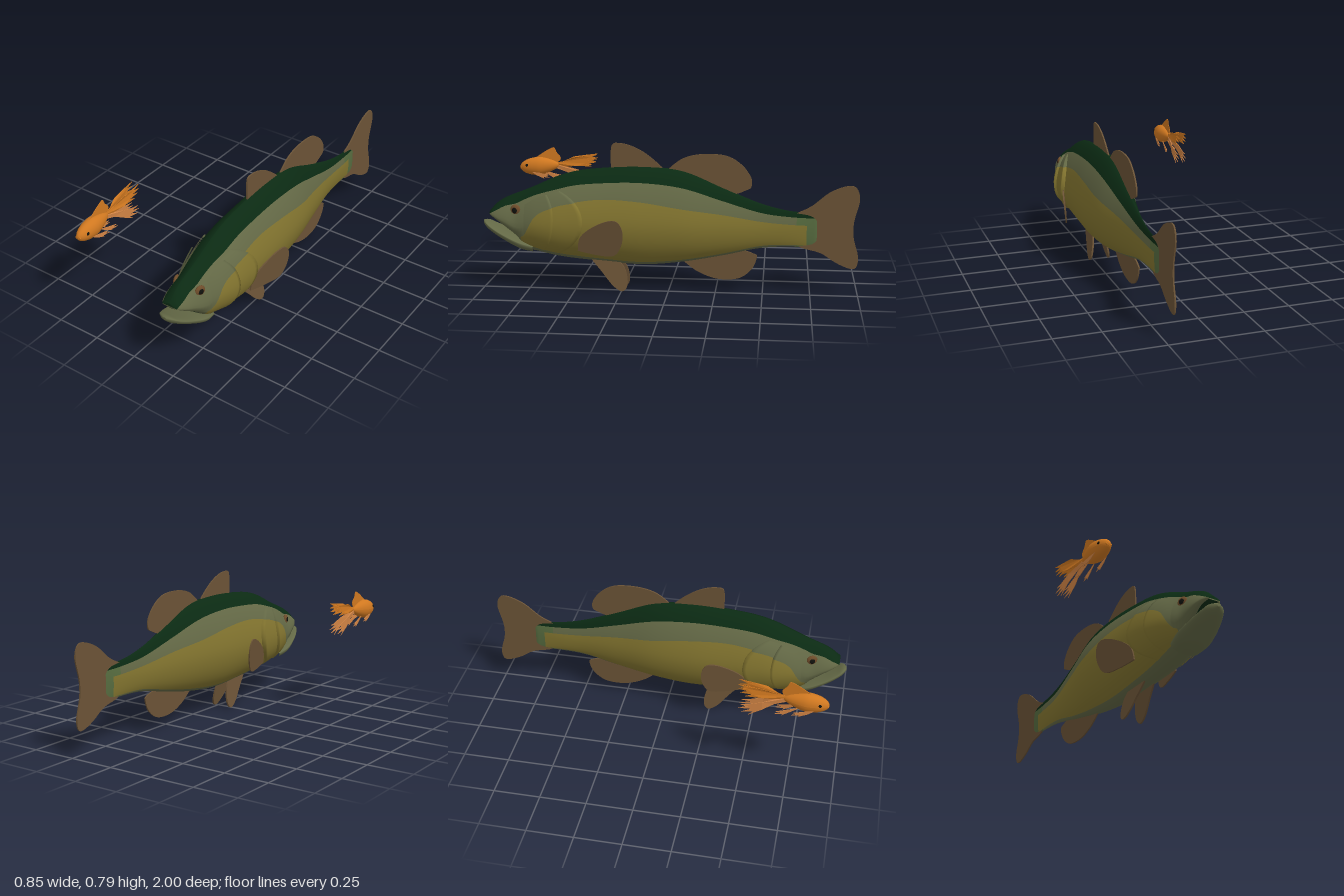
import * as THREE from 'three';

const mat = (name, color, side = THREE.FrontSide) => {
  const m = new THREE.MeshStandardMaterial({ color, side });
  m.name = name;
  return m;
};

export function createModel() {
  const root = new THREE.Group();
  const dark = mat('darkGreenBack', 0x0b2a13), grey = mat('greyGreenFlank', 0x646946);
  const olive = mat('oliveSide', 0x82742f), tailGreen = mat('tailBaseGreen', 0x566b3f);
  const finBrown = mat('brownFin', 0x6b5336, THREE.DoubleSide);
  const iris = mat('brownIris', 0x6e4c2a), pupil = mat('blackPupil', 0x11120d);
  const orange = mat('orangeScales', 0xd07820), orangeFin = mat('paleOrangeFin', 0xd28444, THREE.DoubleSide);

  const add = (parent, name, geo, material) => {
    const m = new THREE.Mesh(geo, material);
    m.name = name;
    parent.add(m);
    return m;
  };

  // Surface from a grid of points; cells are grouped by material
  function grid(ni, nj, point, mats, pick, flip) {
    const pos = [], lists = mats.map(() => []);
    for (let i = 0; i <= ni; i++) for (let j = 0; j <= nj; j++) pos.push(...point(i, j));
    for (let i = 0; i < ni; i++) for (let j = 0; j < nj; j++) {
      const a = i * (nj + 1) + j, b = a + 1, c = a + nj + 1, d = c + 1;
      lists[pick(i, j)].push(...(flip ? [a, c, b, b, c, d] : [a, b, c, b, d, c]));
    }
    const g = new THREE.BufferGeometry();
    g.setAttribute('position', new THREE.Float32BufferAttribute(pos, 3));
    g.setIndex(lists.flat());
    let start = 0;
    lists.forEach((l, k) => { g.addGroup(start, l.length, k); start += l.length; });
    g.computeVertexNormals();
    return g;
  }

  // Cross-sections: z, belly, belly line, flank line, back line, top, widest height, half width
  const spline = rows => {
    const f = new THREE.CubicInterpolant(rows.map(r => r[0]), rows.flatMap(r => r.slice(1)), rows[0].length - 1);
    return z => Array.from(f.evaluate(z));
  };
  const bodyAt = spline([
    [-0.78, .25, .26, .37, .41, .445, .35, .005], [-0.66, .255, .265, .375, .415, .445, .35, .016],
    [-0.5, .246, .26, .39, .435, .48, .35, .03], [-0.29, .2, .215, .43, .5, .563, .36, .07],
    [-0.075, .16, .18, .465, .57, .65, .37, .116], [.14, .14, .165, .5, .595, .67, .37, .138],
    [.354, .153, .18, .51, .59, .66, .37, .142], [.5, .165, .195, .49, .575, .64, .37, .143],
    [.6, .178, .21, .465, .55, .61, .365, .142], [.7, .2, .235, .41, .52, .565, .36, .13],
    [.77, .222, .255, .3, .49, .535, .35, .112], [.81, .28, .29, .305, .47, .52, .34, .1],
    [.87, .33, .338, .346, .455, .495, .37, .087], [.92, .37, .376, .382, .43, .465, .39, .07],
    [.96, .4, .402, .404, .408, .425, .408, .045]]);
  const halfWidth = (y, [lo, , , , hi, mid, w]) => y > mid
    ? w * Math.pow(Math.max(0, 1 - Math.pow((y - mid) / (hi - mid), 1.6)), .65)
    : w * Math.pow(Math.max(0, 1 - Math.pow((mid - y) / (mid - lo), 2)), .6);

  // Rows running from the belly up to the ridge, four colour bands
  const columns = [];
  [5, 11, 7, 8].forEach((n, band) => {
    for (let k = 0; k < n; k++) columns.push([band, k / n]);
  });
  columns.push([3, 1]);
  const heightAt = (s, [band, t]) => {
    const e = band === 3 ? Math.sin(t * Math.PI / 2) : band === 0 ? 1 - Math.cos(t * Math.PI / 2) : t;
    return s[band] + (s[band + 1] - s[band]) * e;
  };

  const bass = new THREE.Group();
  bass.name = 'largeFish';
  bass.position.x = .215;
  root.add(bass);

  const bodyMats = [dark, grey, olive, tailGreen], N = 100;
  const zAt = i => -.78 + 1.74 * Math.min(1, Math.max(0, (i - 1) / (N - 2)));
  const bodyColour = (i, j) => {
    const z = zAt(i + .5), band = columns[j][0];
    if (band === 3 || (z > .79 && band === 0)) return 0;
    if (z < -.68 - .05 * (band === 1)) return 3;
    return band === 1 && z < .775 ? 2 : 1;
  };
  // Gill plates: raised shells following the body
  const gills = [['gillCover', .7, .44, .14, .02], ['cheekPlate', .76, .595, .08, .022]];

  const jawAt = spline([
    [.72, .2, .25, .24, .09], [.79, .217, .277, .262, .104], [.88, .262, .312, .3, .09],
    [.95, .304, .347, .335, .066], [.985, .33, .366, .355, .042], [1, .348, .366, .358, .014]]);

  for (const side of [1, -1]) {
    const word = side > 0 ? 'left' : 'right', flip = side < 0;
    add(bass, word + 'Body', grid(N, columns.length - 1, (i, j) => {
      const z = zAt(i), s = bodyAt(z), y = heightAt(s, columns[j]);
      return [i === 0 || i === N ? 0 : side * halfWidth(y, s), y, z];
    }, bodyMats, bodyColour, flip), bodyMats);

    const plate = columns.filter(c => c[0] === 1 || c[0] === 2);
    for (const [name, front, rear, bow, lift] of gills) {
      add(bass, word + name, grid(13, plate.length - 1, (i, j) => {
        const u = Math.min(1, Math.abs(heightAt(bodyAt(rear + .06), plate[j]) - .385) / .185);
        const t = Math.min(1, i / 12), z = front + (rear + bow * u * u - front) * t;
        const s = bodyAt(z), y = heightAt(s, plate[j]);
        const off = i > 12 ? -.012 : lift * t * (1 - u ** 4) + .001 * t;
        return [side * (halfWidth(y, s) + off), y, z];
      }, [olive, grey], (i, j) => plate[j][0] - 1, !flip), [olive, grey]);
    }

    // Lower jaw, thin and shallow
    add(bass, word + 'LowerJaw', grid(26, 16, (i, j) => {
      const z = .72 + .28 * Math.min(1, i / 25), [lo, hi, mid, w] = jawAt(z);
      const a = -Math.PI / 2 + Math.PI * j / 16, up = a > 0;
      return [i > 25 ? 0 : side * w * Math.pow(Math.cos(a), .9), mid + Math.sin(a) * (up ? hi - mid : mid - lo), z];
    }, [grey], () => 0, flip), [grey]);

    // Eye with iris and pupil
    const eye = new THREE.Group();
    eye.name = word + 'Eye';
    eye.position.set(side * (halfWidth(.437, bodyAt(.81)) - .002), .437, .81);
    eye.rotation.y = side * -.3;
    add(eye, 'iris', new THREE.SphereGeometry(.03, 24, 16).scale(.45, 1, 1), iris);
    add(eye, 'pupil', new THREE.SphereGeometry(.019, 20, 12).scale(.5, 1, 1).translate(side * .006, 0, 0), pupil);
    bass.add(eye);
  }

  // Thin fin from a (z, y) outline; bend gives the sideways offset
  function fin(parent, name, pts, material, bend = () => 0, thick = .008, smooth = true) {
    const v = pts.map(p => new THREE.Vector2(...p));
    const outline = smooth ? new THREE.SplineCurve([...v, v[0]]).getPoints(60).slice(0, -1) : v;
    const g = new THREE.ExtrudeGeometry(new THREE.Shape(outline), { depth: thick, bevelEnabled: false });
    g.translate(0, 0, -thick / 2).rotateY(-Math.PI / 2);
    const p = g.attributes.position;
    for (let i = 0; i < p.count; i++) p.setX(i, p.getX(i) + bend(p.getZ(i), p.getY(i)));
    g.computeVertexNormals();
    return add(parent, name, g, material);
  }

  fin(bass, 'frontDorsalFin', [[.305, .62], [.308, .72], [.3, .785], [.26, .793], [.2, .78], [.13, .745], [.06, .69], [.025, .65], [.03, .6], [.17, .6]], finBrown);
  fin(bass, 'rearDorsalFin', [[.03, .63], [-.02, .68], [-.085, .722], [-.18, .742], [-.3, .735], [-.38, .69], [-.43, .625], [-.435, .575], [-.41, .555], [-.32, .53], [-.15, .56]], finBrown);
  fin(bass, 'analFin', [[-.07, .17], [-.155, .107], [-.26, .07], [-.37, .075], [-.44, .125], [-.468, .19], [-.455, .21], [-.38, .23], [-.22, .23]], finBrown);
  fin(bass, 'tailFin', [[-.67, .435], [-.75, .475], [-.84, .548], [-.93, .585], [-.98, .575], [-.998, .51], [-.972, .4], [-.972, .31], [-.998, .21], [-.988, .15], [-.95, .145], [-.88, .175], [-.8, .225], [-.68, .262], [-.66, .35]], finBrown);
  for (const side of [1, -1]) {
    const word = side > 0 ? 'left' : 'right';
    fin(bass, word + 'PectoralFin', [[.468, .24], [.455, .31], [.397, .365], [.31, .41], [.25, .413], [.221, .36], [.23, .284], [.273, .228], [.37, .226]],
      finBrown, (z, y) => side * (.132 + .25 * (.465 - z) + .08 * (y - .22)));
    fin(bass, word + 'PelvicFin', [[.415, .17], [.354, .1], [.295, .03], [.245, .002], [.218, .035], [.228, .11], [.265, .16], [.34, .19]],
      finBrown, (z, y) => side * (.03 + .16 * (.16 - y)), .01);
  }

  // Small goldfish swimming alongside
  const gold = new THREE.Group();
  gold.name = 'smallFish';
  gold.position.x = -.38;
  root.add(gold);
  const bodyGeo = new THREE.SphereGeometry(1, 32, 24).rotateX(Math.PI / 2);
  const bp = bodyGeo.attributes.position;
  for (let i = 0; i < bp.count; i++) {
    const z = bp.getZ(i), k = z < 0 ? 1 + .35 * z : 1;
    bp.setXYZ(i, bp.getX(i) * .043 * k, .556 + bp.getY(i) * .054 * k + (z < 0 ? -.008 * z : -.006 * z), .82 + z * .116);
  }
  bodyGeo.computeVertexNormals();
  add(gold, 'goldBody', bodyGeo, orange);
  add(gold, 'goldLips', new THREE.TorusGeometry(.013, .005, 8, 20).scale(1, .6, 1).translate(0, .548, .929), orange);
  fin(gold, 'goldDorsalFin', [[.86, .595], [.81, .628], [.775, .65], [.735, .667], [.72, .64], [.695, .605], [.72, .58], [.8, .59]], orange, undefined, .003);

  for (const side of [1, -1]) {
    const word = side > 0 ? 'left' : 'right';
    const spread = z => side * .021 * THREE.MathUtils.smoothstep(.72 - z, 0, .13);
    // Ragged flowing tail lobes
    fin(gold, word + 'UpperTail', [[.74, .575], [.68, .585], [.62, .612], [.55, .622], [.475, .632], [.52, .612], [.475, .605], [.53, .595], [.485, .583], [.55, .577], [.51, .562], [.6, .562], [.68, .555], [.74, .55]],
      orange, spread, .003, false);
    fin(gold, word + 'LowerTail', [[.74, .57], [.68, .56], [.6, .535], [.53, .512], [.49, .505], [.54, .5], [.48, .482], [.55, .486], [.495, .46], [.56, .472], [.53, .445], [.6, .488], [.66, .525], [.74, .55]],
      orangeFin, spread, .003, false);
    fin(gold, word + 'GoldPectoral', [[.86, .525], [.82, .522], [.76, .51], [.775, .503], [.75, .495], [.79, .497], [.785, .488], [.83, .505]],
      orangeFin, z => side * (.034 + .1 * (.86 - z)), .003, false);
    fin(gold, word + 'GoldPelvic', [[.79, .525], [.74, .51], [.67, .492], [.7, .49], [.665, .478], [.71, .48], [.7, .47], [.76, .505]],
      orangeFin, z => side * (.015 + .1 * (.79 - z)), .003, false);
    add(gold, word + 'GoldEye', new THREE.SphereGeometry(.009, 16, 10).scale(.5, 1, 1).translate(side * .032, .563, .89), pupil);
  }
  return root;
}
